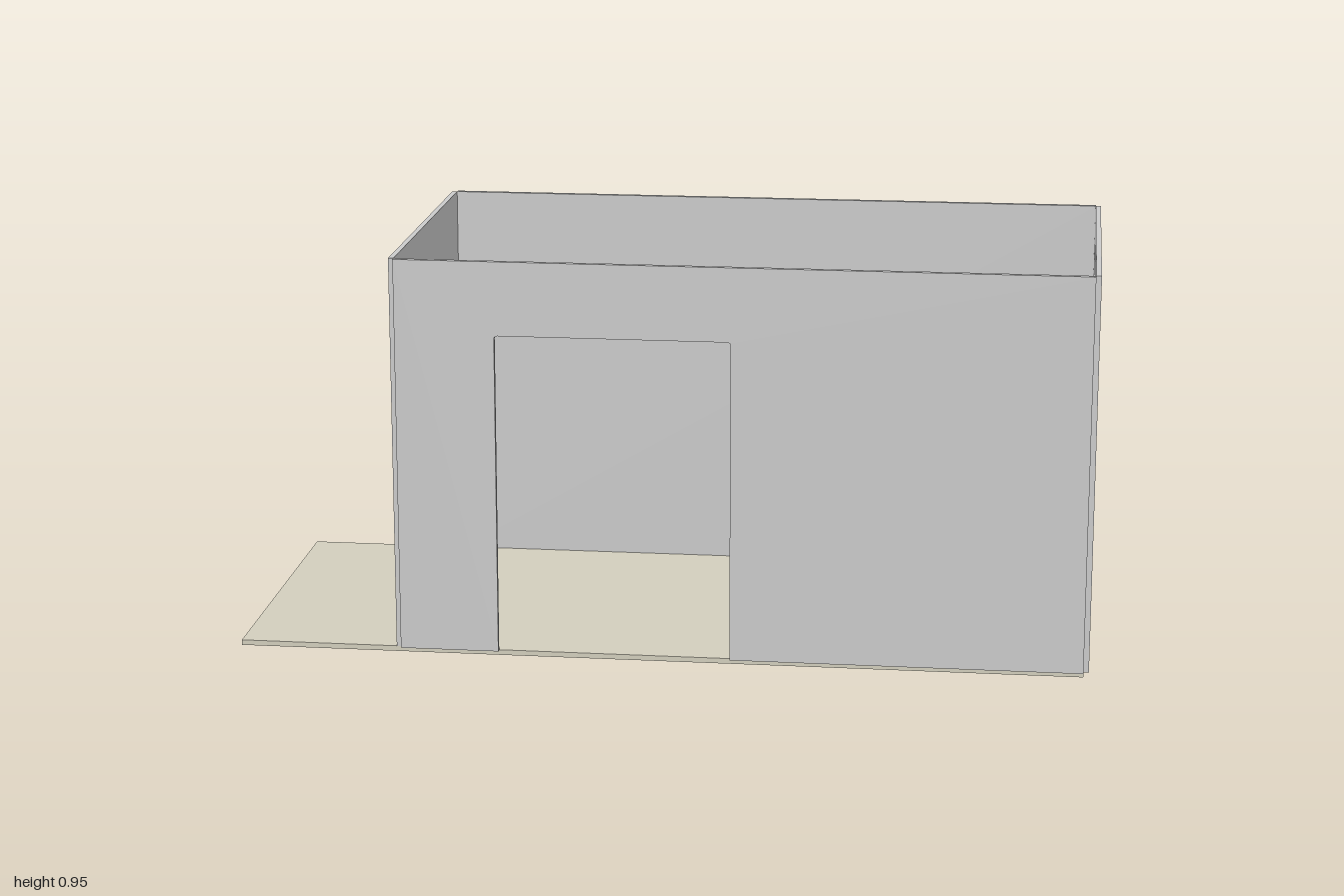
import * as THREE from 'three';

const grey = new THREE.MeshStandardMaterial({ color: 0xcccccc });
const beige = new THREE.MeshStandardMaterial({ color: 0xd2cebd });

const BASE = 0.0125, TOP = 0.949;        // wall bottom and top
const REAR = -0.613, END = 0.987;        // inner length of the room
const HALF = 0.403, THICK = 0.0125;      // half width and panel thickness

// Box given by its lower and upper corners
function box(name, min, max, material = grey) {
  const size = max.map((v, i) => v - min[i]);
  const mesh = new THREE.Mesh(new THREE.BoxGeometry(...size), material);
  mesh.position.set(...max.map((v, i) => (v + min[i]) / 2));
  mesh.name = name;
  return mesh;
}

// Upright panel from u0 to u1 with a doorway open at the bottom
function doorPanel(name, u0, u1, d0, d1, doorTop, r) {
  const s = new THREE.Shape();
  s.moveTo(u0, BASE);
  s.lineTo(d0, BASE);
  s.lineTo(d0, doorTop - r);
  if (r) s.quadraticCurveTo(d0, doorTop, d0 + r, doorTop);
  else s.lineTo(d0, doorTop);
  s.lineTo(d1 - r, doorTop);
  if (r) s.quadraticCurveTo(d1, doorTop, d1, doorTop - r);
  s.lineTo(d1, BASE);
  s.lineTo(u1, BASE);
  s.lineTo(u1, TOP);
  s.lineTo(u0, TOP);
  s.closePath();
  const geometry = new THREE.ExtrudeGeometry(s, { depth: THICK, bevelEnabled: false, curveSegments: 4 });
  const mesh = new THREE.Mesh(geometry, grey);
  mesh.name = name;
  return mesh;
}

export function createModel() {
  const model = new THREE.Group();
  model.name = 'cargoCompartment';

  // Floor, running out past the closed end wall
  model.add(box('floor', [-1, 0, -HALF], [END, BASE, HALF], beige));

  // Closed walls
  model.add(box('backWall', [REAR, BASE, -HALF - THICK], [END, TOP, -HALF]));
  model.add(box('bulkhead', [REAR - THICK, BASE, -HALF], [REAR, TOP, HALF]));

  // Front wall with the side doorway
  const frontWall = doorPanel('frontWall', REAR, END, -0.38, 0.166, 0.775, 0.008);
  frontWall.position.z = HALF;
  model.add(frontWall);

  // Open end frame
  const endFrame = doorPanel('endFrame', -HALF, HALF, -0.338, 0.338, 0.888, 0);
  endFrame.rotation.y = Math.PI / 2;
  endFrame.position.x = END;
  model.add(endFrame);

  // Wheel arch boxes against both long walls
  model.add(box('leftWheelArch', [0.444, BASE, 0.307], [0.745, 0.124, HALF]));
  model.add(box('rightWheelArch', [0.444, BASE, -HALF], [0.745, 0.124, -0.307]));

  return model;
}
